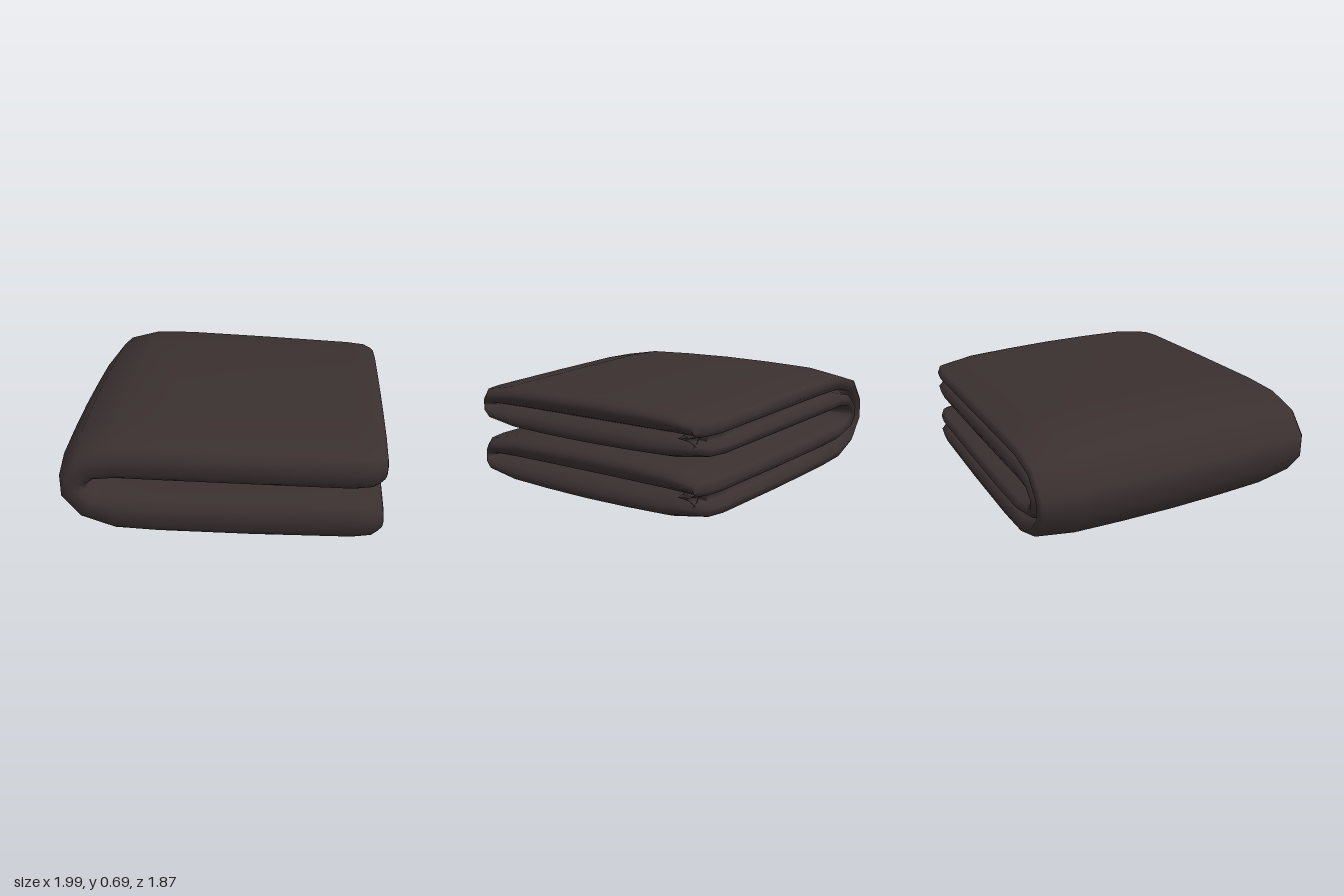
import * as THREE from 'three';

// Half of the cloth's cross-section: [z, n], n = 1 is the full thickness.
// It starts in the groove at the back and ends on the rounded front fold.
const half = [
  [-0.8, 0], [-0.89, 0.1], [-0.93, 0.34], [-0.91, 0.65], [-0.67, 0.9], [-0.35, 0.97], [0, 1],
  [0.35, 0.97], [0.66, 0.9], [0.9, 0.64], [0.935, 0.32], [0.935, 0],
];
const mirrored = half.slice(1, -1).reverse().map(([z, n]) => [z, -n]);
const section = [...half, ...mirrored];

// Free end: [x, thickness factor, width factor], rolling over each ply into the groove
const end = [
  [0.8, 1, 0.965], [0.92, 0.96, 0.94], [0.965, 0.86, 0.9], [0.99, 0.7, 0.88],
  [0.995, 0.5, 0.87], [0.97, 0.28, 0.87], [0.94, 0.12, 0.86], [0.89, 0, 0.85],
];

// Stations along the U: outer x, y, inner x, y, thickness factor, width factor
const lower = end.map(([x, f, w]) => [x, 0.005, x - 0.015, 0.33, f, w]).reverse();
const upper = end.map(([x, f, w]) => [x, 0.655, x - 0.015, 0.35, f, w]);
const fold = [
  [0.2, 0, 0.2, 0.333, 1, 0.985],
  [-0.38, 0.005, -0.38, 0.333, 1, 1],
  [-0.64, 0.015, -0.62, 0.333, 1, 1],
  [-0.87, 0.1, -0.73, 0.338, 1, 1],
  [-1, 0.27, -0.765, 0.346, 1, 1],
  [-1, 0.44, -0.765, 0.356, 1, 1],
  [-0.87, 0.61, -0.73, 0.364, 1, 1],
  [-0.64, 0.68, -0.62, 0.368, 1, 1],
  [-0.38, 0.687, -0.38, 0.365, 1, 1],
  [0.2, 0.673, 0.2, 0.358, 1, 0.985],
];
const stations = [...lower, ...fold, ...upper];

function clothGeometry() {
  const positions = [], index = [], count = section.length;
  for (const [ox, oy, ix, iy, f, w] of stations) {
    for (const [z, n] of section) {
      const t = 0.5 + 0.5 * n * f; // 1 = outer curve, 0 = inner curve
      positions.push(ix + (ox - ix) * t, iy + (oy - iy) * t, z * w);
    }
  }
  for (let s = 0; s < stations.length - 1; s++) {
    for (let i = 0; i < count; i++) {
      const a = s * count + i, b = s * count + (i + 1) % count;
      index.push(a, b, a + count, b, b + count, a + count);
    }
  }
  const geometry = new THREE.BufferGeometry();
  geometry.setAttribute('position', new THREE.Float32BufferAttribute(positions, 3));
  geometry.setIndex(index);
  geometry.computeVertexNormals();
  return geometry;
}

export function createModel() {
  const model = new THREE.Group();
  model.name = 'foldedTowel';
  const cloth = new THREE.MeshStandardMaterial({ color: 0x3a3030 });
  cloth.name = 'dark brown cloth';
  const towel = new THREE.Mesh(clothGeometry(), cloth);
  towel.name = 'foldedCloth';
  model.add(towel);
  return model;
}
